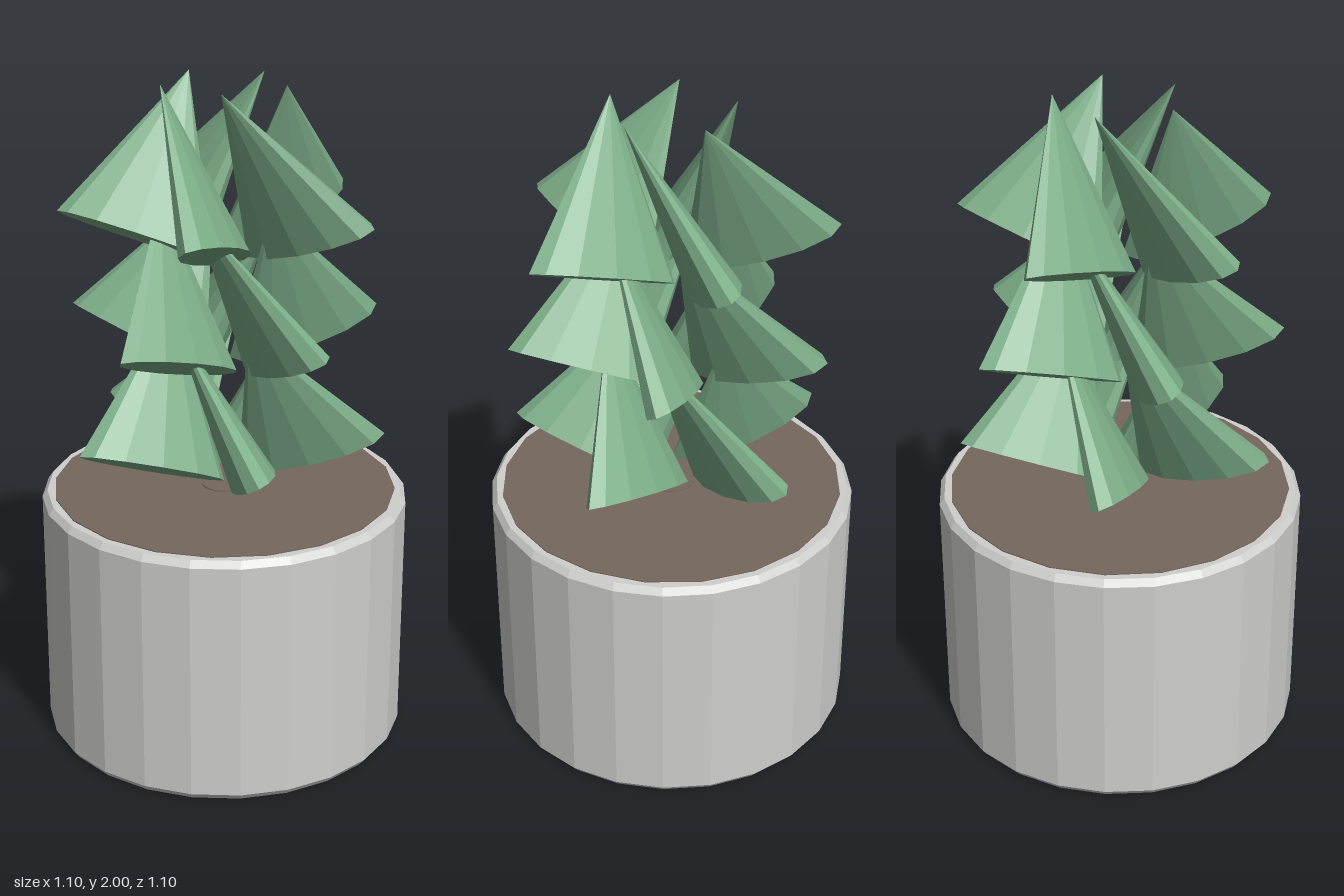
import * as THREE from 'three';

export function createModel() {
  const model = new THREE.Group();
  model.name = 'pottedPlant';
  const mat = (name, color) => {
    const m = new THREE.MeshStandardMaterial({ color, flatShading: true });
    m.name = name;
    return m;
  };
  const potGrey = mat('potGrey', 0xcfcfcd);
  const soilBrown = mat('soilBrown', 0x75675d);
  const leafGreen = mat('leafGreen', 0x7dae89);

  const add = (name, geometry, material, parent = model) => {
    const mesh = new THREE.Mesh(geometry, material);
    mesh.name = name;
    parent.add(mesh);
    return mesh;
  };

  // Pot: solid cylinder with small bevels at both rims
  const profile = [[0, 0], [0.535, 0], [0.55, 0.02], [0.55, 0.75], [0.535, 0.77], [0, 0.77]]
    .map(([r, y]) => new THREE.Vector2(r, y));
  add('pot', new THREE.LatheGeometry(profile, 24), potGrey);

  // Soil: thin disc set on the pot, with a short stem stub in the middle
  add('soil', new THREE.CylinderGeometry(0.515, 0.515, 0.004, 20), soilBrown).position.y = 0.771;
  add('stemStub', new THREE.CylinderGeometry(0.068, 0.068, 0.006, 20), soilBrown).position.y = 0.773;

  // Leaf: flattened cone leaning sideways around the stem
  const apex = new THREE.Vector3(0.062, 2, 0.175);
  const base = new THREE.Vector3(0.26, 1.565, 0.005);
  const axis = apex.clone().sub(base);
  const height = axis.length();
  axis.normalize();
  const wide = new THREE.Vector3(0.215, 0.052, 0.055);
  wide.addScaledVector(axis, -wide.dot(axis)).normalize();
  const thin = new THREE.Vector3().crossVectors(wide, axis);
  const leaf = new THREE.ConeGeometry(0.235, height, 12)
    .scale(1, 1, 0.3)
    .translate(0, height / 2, 0)
    .applyMatrix4(new THREE.Matrix4().makeBasis(wide, axis, thin).setPosition(base));

  // Three tiers of five leaves, each tier turned against the one above
  for (let tier = 0; tier < 3; tier++) {
    const ring = new THREE.Group();
    ring.name = `leafTier${tier + 1}`;
    ring.position.y = -0.34 * tier;
    ring.rotation.y = -THREE.MathUtils.degToRad(24 * tier);
    for (let i = 0; i < 5; i++) {
      add('leaf', leaf, leafGreen, ring).rotation.y = -i * Math.PI * 2 / 5;
    }
    model.add(ring);
  }
  return model;
}
